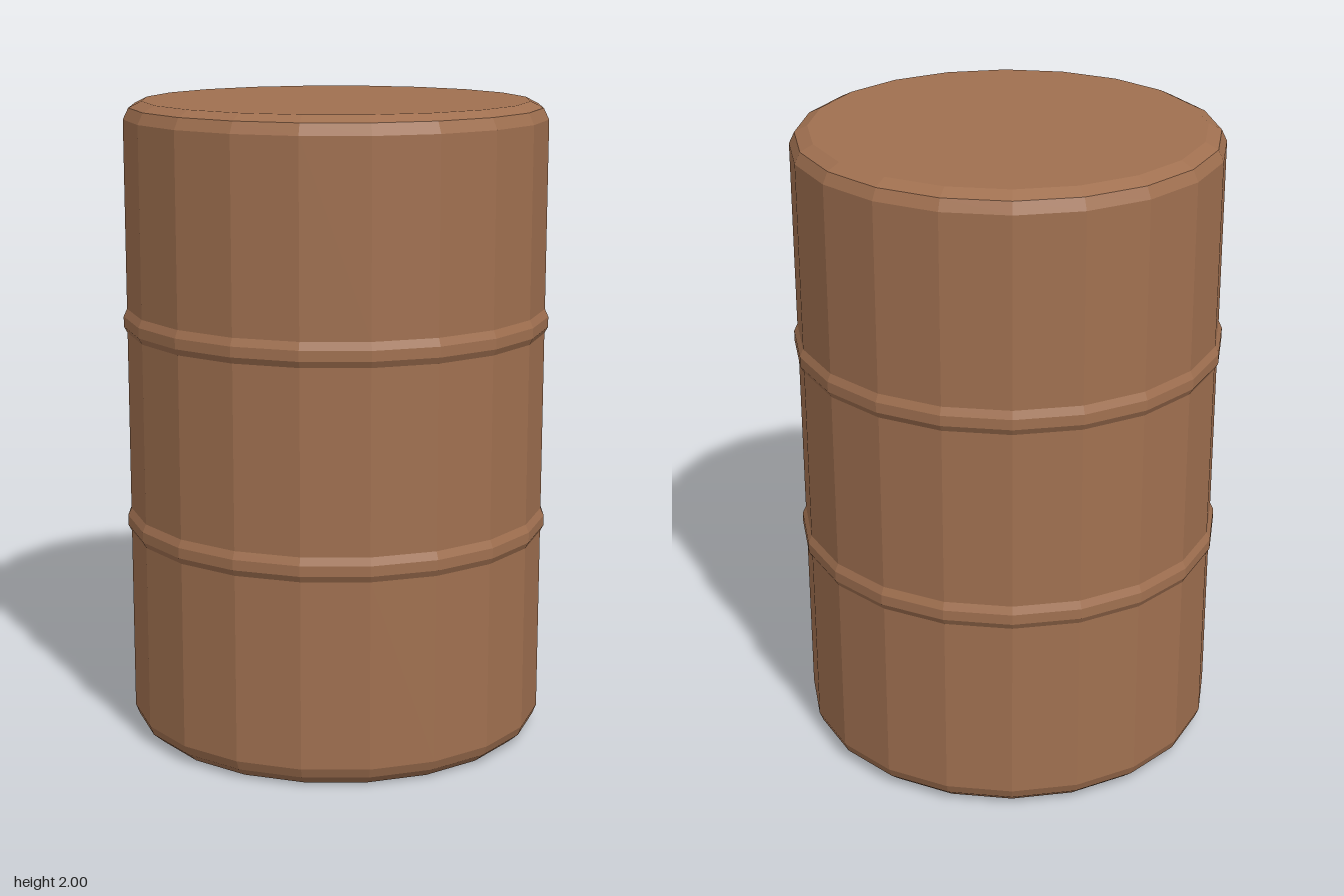
import * as THREE from 'three';

const SIDES = 20;
const BODY_R = 0.657;

export function createModel() {
  const group = new THREE.Group();
  group.name = 'barrel';
  const material = new THREE.MeshStandardMaterial({ color: 0xa07050, flatShading: true });

  // Raised hoop around the body, centred on height y
  const hoop = (y) => [
    [BODY_R, y - 0.038], [0.668, y - 0.018], [0.668, y + 0.014], [BODY_R, y + 0.038],
  ];

  // Outline from the centre of the base up to the centre of the lid
  const profile = [
    [0, 0], [0.61, 0], [0.645, 0.03], [BODY_R, 0.06],
    ...hoop(0.683),
    ...hoop(1.323),
    [BODY_R, 1.945], [0.64, 1.98], [0.60, 2], [0, 2],
  ].map(([r, y]) => new THREE.Vector2(r, y));

  const body = new THREE.Mesh(new THREE.LatheGeometry(profile, SIDES), material);
  body.name = 'drumBody';
  group.add(body);
  return group;
}
